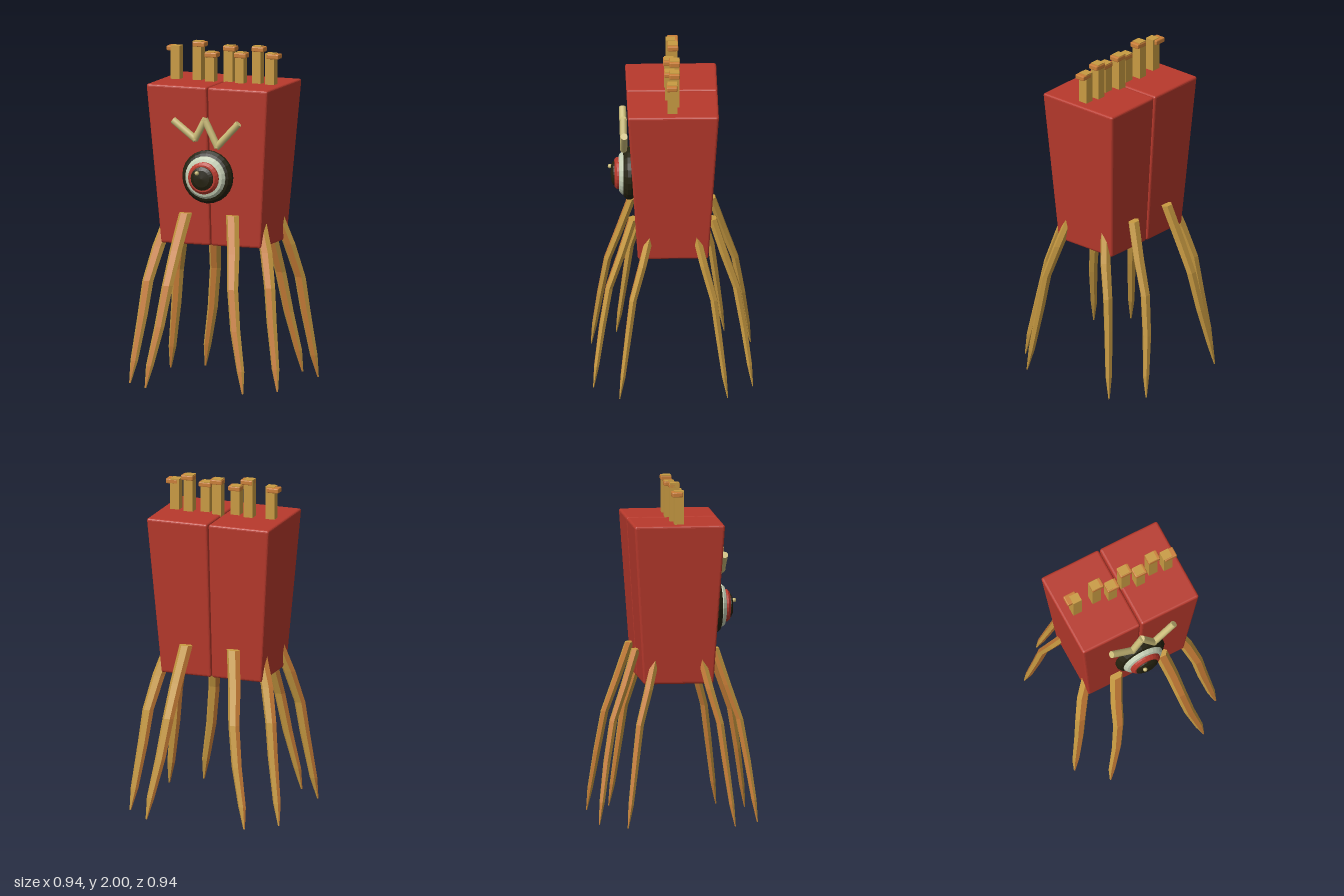
import * as THREE from 'three';
import { RoundedBoxGeometry } from 'three/addons/geometries/RoundedBoxGeometry.js';

const mat = (name, color) => {
  const m = new THREE.MeshStandardMaterial({ color });
  m.name = name;
  return m;
};

const flat = (geo) => {
  const g = geo.index ? geo.toNonIndexed() : geo;
  g.computeVertexNormals();
  return g;
};

export function createModel() {
  const red = mat('red', 0xb8392c);
  const gold = mat('gold wood', 0xc99b42);
  const orange = mat('orange wood', 0xcb7f38);
  const black = mat('black', 0x24210f);
  const white = mat('off white', 0xc6d0b6);
  const straw = mat('straw', 0xcabb78);

  const model = new THREE.Group();
  model.name = 'creature';
  const add = (name, geo, material, parent = model) => {
    const mesh = new THREE.Mesh(geo, material);
    mesh.name = name;
    parent.add(mesh);
    return mesh;
  };

  // Body: two tapered halves with a straight seam between them
  const bodyHalf = (side) => {
    const geo = new RoundedBoxGeometry(0.382, 0.945, 0.536, 2, 0.014);
    const p = geo.attributes.position;
    for (let i = 0; i < p.count; i++) {
      const t = p.getY(i) / 0.945 + 0.5;
      const sx = 0.815 + 0.185 * t, sz = 0.77 + 0.23 * t;
      const x = side > 0 ? p.getX(i) + 0.191 : p.getX(i) - 0.191;
      p.setXYZ(i, side * 0.003 + x * sx, p.getY(i) + 1.2975, p.getZ(i) * sz);
    }
    return flat(geo);
  };
  add('leftBodyHalf', bodyHalf(1), red);
  add('rightBodyHalf', bodyHalf(-1), red);

  // Legs: six-sided, bent and tapered, with two orange facets each
  const leg = (path, sx, sz) => {
    const rows = path.length - 1;
    const geo = new THREE.CylinderGeometry(1, 1, 1, 6, rows, false, Math.PI / 6);
    const p = geo.attributes.position;
    for (let i = 0; i < p.count; i++) {
      const [x, y, z, r] = path[Math.round((0.5 - p.getY(i)) * rows)];
      p.setXYZ(i, sx * x + p.getX(i) * r, y, sz * z + p.getZ(i) * r * 0.68);
    }
    geo.clearGroups();
    const n = rows * 6;
    for (let f = 0; f < 6; f++) geo.addGroup(f * n, n, f === 3 || f === 5 ? 1 : 0);
    geo.addGroup(6 * n, geo.index.count - 6 * n, 0);
    return flat(geo);
  };
  const innerPath = [
    [0.148, 1.015, 0.232, 0.041], [0.182, 0.8, 0.302, 0.039], [0.206, 0.6, 0.372, 0.035],
    [0.24, 0.36, 0.414, 0.032], [0.287, 0.13, 0.448, 0.024], [0.307, 0, 0.466, 0.005],
  ];
  const outerPath = [
    [0.268, 1.02, 0.125, 0.041], [0.34, 0.8, 0.18, 0.039], [0.385, 0.6, 0.236, 0.035],
    [0.408, 0.4, 0.262, 0.032], [0.447, 0.13, 0.297, 0.024], [0.466, 0, 0.316, 0.005],
  ];
  for (const sx of [1, -1]) {
    for (const sz of [1, -1]) {
      const label = (sz > 0 ? 'front' : 'back') + (sx > 0 ? 'Left' : 'Right');
      add(label + 'InnerLeg', leg(innerPath, sx, sz), [gold, orange]);
      add(label + 'OuterLeg', leg(outerPath, sx, sz), [gold, orange]);
    }
  }

  // Top pegs: [x, z, top, cap x, cap z]
  const pegs = [
    [-0.297, 0.004, 1.967, -0.318, -0.01],
    [-0.164, -0.008, 1.999, -0.154, -0.008],
    [-0.072, 0.018, 1.945, -0.066, 0.02],
    [0.03, -0.015, 1.983, 0.036, -0.014],
    [0.114, 0.016, 1.952, 0.118, 0.018],
    [0.211, -0.01, 1.99, 0.219, -0.01],
    [0.301, 0.004, 1.955, 0.32, 0.007],
  ];
  pegs.forEach(([x, z, top, cx, cz], i) => {
    const g = new THREE.Group();
    g.name = 'peg' + (i + 1);
    model.add(g);
    const h = top - 1.75;
    add('pegPost', new THREE.BoxGeometry(0.056, h, 0.056), gold, g).position.set(x, top - h / 2, z);
    add('pegCap', flat(new RoundedBoxGeometry(0.076, 0.03, 0.063, 1, 0.006)), orange, g)
      .position.set(cx, top - 0.018, cz);
  });

  // Eye: stacked rings turned about the forward axis
  const eye = new THREE.Group();
  eye.name = 'eye';
  eye.position.set(0, 1.24, 0);
  model.add(eye);
  const ring = (name, profile, material) => {
    const pts = profile.map(([r, z]) => new THREE.Vector2(r, z));
    const geo = new THREE.LatheGeometry(pts, 24);
    geo.rotateX(Math.PI / 2);
    add(name, flat(geo), material, eye);
  };
  ring('eyeRim', [[0, 0.215], [0.145, 0.225], [0.157, 0.24], [0.157, 0.262], [0.142, 0.28], [0.12, 0.288], [0, 0.288]], black);
  ring('eyeWhite', [[0.126, 0.28], [0.126, 0.292], [0.112, 0.308], [0.09, 0.314], [0, 0.314]], white);
  ring('iris', [[0.095, 0.305], [0.095, 0.325], [0.08, 0.338], [0, 0.338]], red);
  ring('pupil', [[0.07, 0.332], [0.07, 0.345], [0.05, 0.355], [0, 0.36]], black);
  add('eyeGlint', new THREE.SphereGeometry(0.013, 12, 8), straw, eye).position.set(-0.024, 0.034, 0.363);

  // Zigzag brow made of four overlapping rods
  const brow = new THREE.Group();
  brow.name = 'brow';
  model.add(brow);
  const zig = [[-0.2, 1.565], [-0.066, 1.465], [-0.004, 1.58], [0.074, 1.428], [0.203, 1.565]]
    .map(([x, y]) => new THREE.Vector3(x, y, 0.285));
  for (let i = 0; i < 4; i++) {
    const dir = zig[i + 1].clone().sub(zig[i]);
    const rod = add('browRod', new THREE.CylinderGeometry(0.021, 0.021, dir.length() + 0.014, 12), straw, brow);
    rod.position.copy(zig[i]).addScaledVector(dir, 0.5);
    rod.quaternion.setFromUnitVectors(new THREE.Vector3(0, 1, 0), dir.normalize());
  }

  return model;
}
